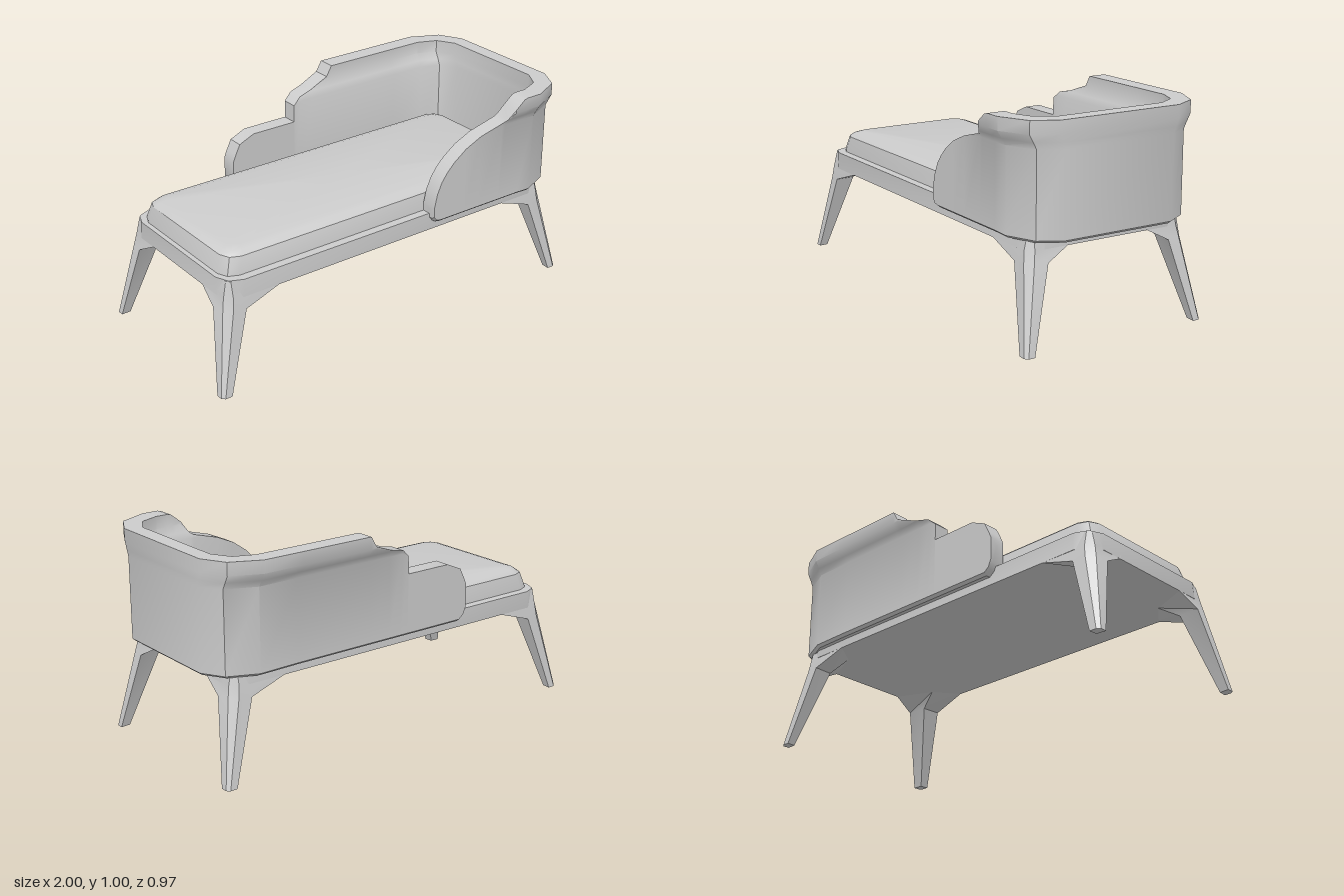
import * as THREE from 'three';
import { toCreasedNormals } from 'three/addons/utils/BufferGeometryUtils.js';

const material = new THREE.MeshStandardMaterial({ color: 0xcccccc });
const V = (x, y, z) => new THREE.Vector3(x, y, z);

// Closed solid through a list of rings, capped at both ends, turned outward.
function loft(rings, crease) {
  const tris = [];
  const n = rings[0].length;
  const add = (a, b, c) => {
    const area = b.clone().sub(a).cross(c.clone().sub(a)).length();
    if (area > 1e-8) tris.push([a, b, c]);
  };
  for (let k = 0; k < rings.length - 1; k++) {
    for (let i = 0; i < n; i++) {
      const j = (i + 1) % n;
      const [a, b, c, d] = [rings[k][i], rings[k][j], rings[k + 1][j], rings[k + 1][i]];
      add(a, b, c);
      add(a, c, d);
    }
  }
  [rings[0], rings[rings.length - 1]].forEach((ring, end) => {
    const mid = ring.reduce((s, p) => s.add(p), V(0, 0, 0)).divideScalar(n);
    for (let i = 0; i < n; i++) {
      const p = ring[i], q = ring[(i + 1) % n];
      end ? add(mid, p, q) : add(mid, q, p);
    }
  });
  const volume = tris.reduce((s, [a, b, c]) => s + a.dot(b.clone().cross(c)), 0);
  const points = tris.flatMap(([a, b, c]) => (volume < 0 ? [a, c, b] : [a, b, c]));
  return toCreasedNormals(new THREE.BufferGeometry().setFromPoints(points), crease);
}

// Rectangle in plan with softened corners.
function planRing(y, hx, hz, c) {
  const q = [[hx - c, hz], [hx - 0.3 * c, hz - 0.3 * c], [hx, hz - c]];
  const r = [...q].reverse();
  return [
    ...q.map(([x, z]) => V(x, y, z)),
    ...r.map(([x, z]) => V(x, y, -z)),
    ...q.map(([x, z]) => V(-x, y, -z)),
    ...r.map(([x, z]) => V(-x, y, z)),
  ];
}

// Splayed corner leg, spreading at the top into a brace under the rail.
function legGeometry(sx, sz) {
  const sections = [
    [0, [[0.95, 0.47], [0.985, 0.47], [1, 0.457], [1, 0.425], [0.953, 0.428]]],
    [0.378, [[0.83, 0.42], [0.895, 0.415], [0.93, 0.385], [0.938, 0.32], [0.835, 0.325]]],
    [0.436, [[0.65, 0.412], [0.887, 0.408], [0.918, 0.375], [0.922, 0.21], [0.74, 0.29]]],
    [0.515, [[0.65, 0.408], [0.885, 0.388], [0.9, 0.37], [0.918, 0.21], [0.74, 0.29]]],
  ];
  return loft(sections.map(([y, pts]) => pts.map(([x, z]) => V(sx * x, y, sz * z))), 0.5);
}

// Guard wall: silhouette stations (x, bottom, top) along each long side.
const LOW = 0.475, TOP = 0.995;
const frontSide = [
  [0.2, 0.5, 0.56], [0.215, 0.48, 0.625], [0.24, LOW, 0.68], [0.27, LOW, 0.72],
  [0.31, LOW, 0.76], [0.38, LOW, 0.81], [0.47, LOW, 0.85], [0.6, LOW, 0.885],
  [0.62, LOW, 0.9], [0.65, LOW, 0.95], [0.7, LOW, 0.99], [0.72, LOW, TOP],
];
const backSide = [
  [-0.38, 0.53, 0.65], [-0.365, 0.495, 0.685], [-0.34, LOW, 0.735], [-0.26, LOW, 0.77],
  [-0.022, LOW, 0.77], [-0.02, LOW, 0.855], [0.02, LOW, 0.89], [0.09, LOW, 0.905],
  [0.2, LOW, 0.945], [0.23, LOW, TOP], [0.6, LOW, TOP],
];
// Head-end corner in plan: outer x, z and inner x, z.
const corner = [
  [0.8, 0.445, 0.78, 0.365], [0.94, 0.385, 0.875, 0.33], [1, 0.28, 0.925, 0.25],
];

function wallGeometry() {
  // The sides lean outward between these two heights.
  const flare = (y) => 1 + 0.09 * THREE.MathUtils.smoothstep(y, 0.87, 0.935);
  const section = (ox, oz, ix, iz, lo, hi) => {
    const at = (x, z, y) => V(x, y, z * flare(y));
    const rows = [lo + 0.012, 0.87, 0.9, 0.935, hi].map((y) => Math.min(y, hi));
    const t = 0.18;
    return [
      at(ox + (ix - ox) * t, oz + (iz - oz) * t, lo),
      ...rows.map((y) => at(ox, oz, y)),
      ...rows.slice(1).reverse().map((y) => at(ix, iz, y)),
      at(ix, iz, lo),
    ];
  };
  const side = (list, s) => list.map(([x, lo, hi]) => section(x, s * 0.445, x, s * 0.365, lo, hi));
  const bend = (s) => corner.map(([ox, oz, ix, iz]) => section(ox, s * oz, ix, s * iz, 0.472, TOP));
  return loft([
    ...side(frontSide, 1), ...bend(1),
    ...bend(-1).reverse(), ...side(backSide, -1).reverse(),
  ], 0.6);
}

export function createModel() {
  const model = new THREE.Group();
  const add = (name, geometry) => {
    const mesh = new THREE.Mesh(geometry, material);
    mesh.name = name;
    model.add(mesh);
  };

  // Bed base
  add('baseFrame', loft([
    planRing(0.435, 0.922, 0.412, 0.09),
    planRing(0.518, 0.918, 0.408, 0.09),
  ], 0.5));

  // Mattress with a rounded upper edge
  add('mattress', loft([
    planRing(0.5, 0.897, 0.368, 0.07),
    planRing(0.53, 0.893, 0.365, 0.07),
    planRing(0.597, 0.872, 0.35, 0.07),
    planRing(0.614, 0.85, 0.33, 0.06),
    planRing(0.625, 0.815, 0.295, 0.04),
  ], 0.55));

  // Guard wall around the head end
  add('guardWall', wallGeometry());

  // Legs
  for (const sx of [-1, 1]) {
    for (const sz of [-1, 1]) {
      add(`${sz > 0 ? 'front' : 'back'}${sx > 0 ? 'Left' : 'Right'}Leg`, legGeometry(sx, sz));
    }
  }
  return model;
}
